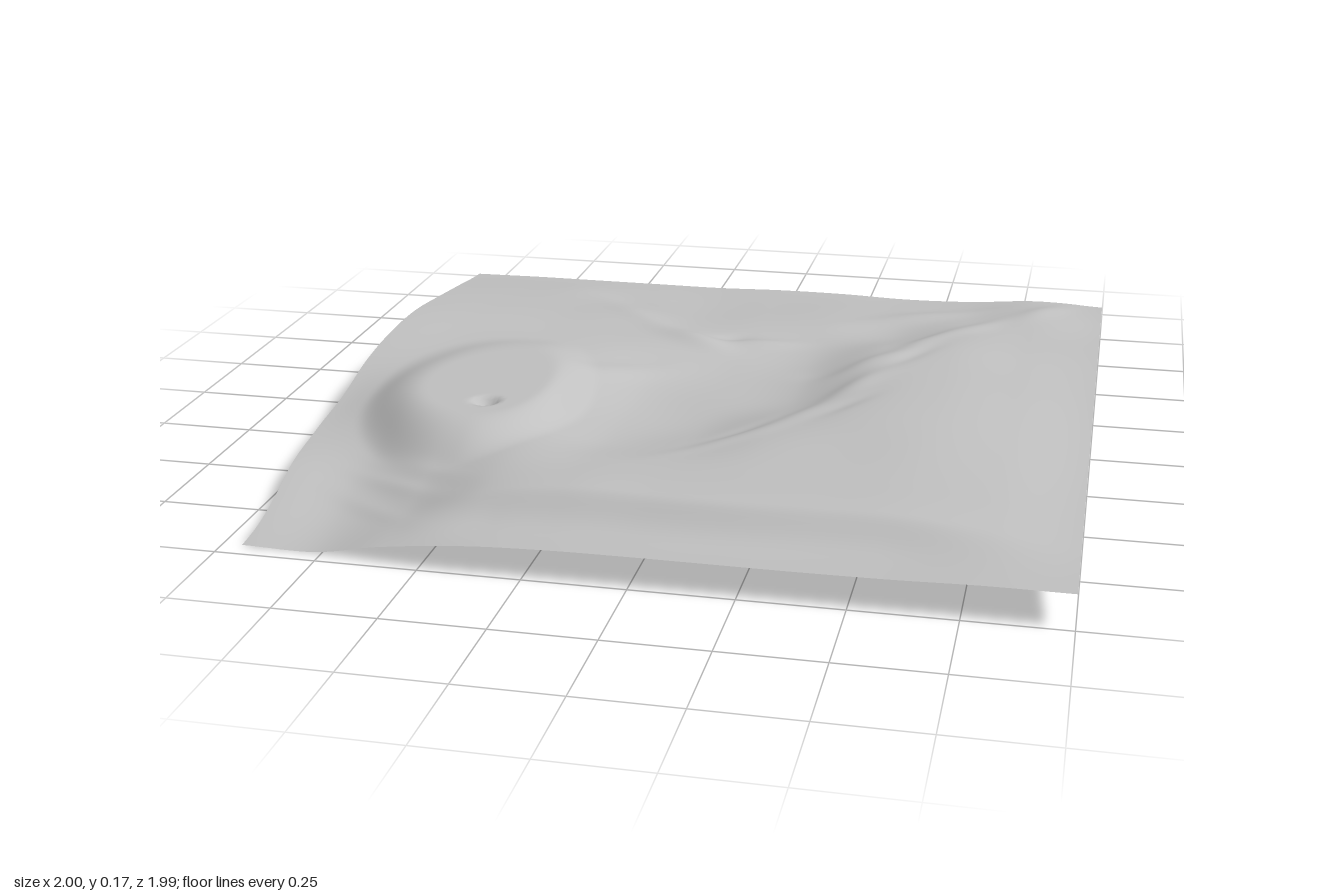
import * as THREE from 'three';

// Coarse relief in hundredths of a unit: rows run back to front, columns run from -x to +x
const RELIEF = [
  [9.3, 9.5, 9.5, 9.5, 9.5, 10, 10, 9.5, 10, 11.5, 10.8],
  [11.5, 11.8, 12, 10.8, 9.8, 10.3, 11, 11, 11.5, 13.5, 11.4],
  [13.8, 13.3, 13, 13, 11.3, 11.3, 11, 10.5, 13.6, 12.8, 11.4],
  [15.8, 14.8, 13.7, 13, 12.3, 10.7, 10, 14, 15.8, 13.7, 11.6],
  [15.8, 14.9, 14.7, 13.5, 10.5, 8.9, 9.8, 15.2, 16, 14, 11.6],
  [13.8, 14.4, 16.3, 14, 9.3, 8.8, 10.2, 15.8, 16.6, 14.5, 11.6],
  [9.5, 13.5, 16, 13, 9.3, 9.2, 13.3, 16.5, 16.8, 14.7, 11.6],
  [7.6, 9.5, 13.5, 14, 11, 12, 15, 15.8, 16.2, 14.5, 11.6],
  [6.6, 6, 10, 14.2, 14.3, 14.6, 15.2, 15.2, 15.2, 14, 11.6],
  [3.2, 2.4, 6, 12.5, 14.9, 14.9, 14.9, 14.8, 14.4, 13, 11],
  [0.8, 0.8, 4.5, 7.2, 8.1, 8.3, 8.3, 8.3, 8.5, 9, 9],
];

// Small ridges and hollows: x, z, angle, length, width, height
const DETAILS = [
  // broken crest of the diagonal ridge
  [0.1, 0.38, -0.75, 0.16, 0.035, 0.005], [0.27, 0.17, -1, 0.14, 0.035, 0.006],
  [0.37, -0.04, -1.05, 0.13, 0.04, 0.008], [0.4, -0.26, -0.7, 0.11, 0.04, 0.008],
  [0.52, -0.46, -1.15, 0.13, 0.035, 0.007], [0.64, -0.64, -0.9, 0.13, 0.035, 0.007],
  [0.83, -0.85, -1.05, 0.12, 0.04, 0.007], [0.25, -0.22, 0.1, 0.07, 0.04, -0.004],
  [0.5, -0.3, -1.05, 0.1, 0.025, -0.005], [0.37, 0.13, -0.95, 0.1, 0.025, -0.004],
  [0.13, 0.28, -0.85, 0.1, 0.03, -0.004],
  // knoll and hollows at the back of the basin
  [-0.32, -0.54, 0.75, 0.16, 0.045, 0.007], [-0.14, -0.41, 0.45, 0.1, 0.045, 0.016],
  [0.05, -0.45, -0.25, 0.1, 0.03, 0.009], [-0.05, -0.47, -0.4, 0.05, 0.025, -0.007],
  [0.45, -0.77, -0.45, 0.2, 0.045, 0.008], [-0.4, -0.74, 0.6, 0.16, 0.06, -0.006],
  // inner arm running off the mound
  [-0.3, -0.1, -0.65, 0.15, 0.05, 0.008],
  // folds below the mound
  [-0.62, 0.62, 0.45, 0.14, 0.025, 0.004], [-0.66, 0.69, 0.5, 0.15, 0.025, 0.005],
  [-0.7, 0.79, 0.55, 0.14, 0.03, 0.004],
];

const { clamp, smoothstep, lerp } = THREE.MathUtils;

function cubic(a, b, c, d, t) {
  return b + 0.5 * t * (c - a + t * (2 * a - 5 * b + 4 * c - d + t * (3 * (b - c) + d - a)));
}

function sampleRelief(x, z) {
  const u = clamp((x + 1) * 5, 0, 10), v = clamp((z + 1) * 5, 0, 10);
  const i = Math.min(9, Math.floor(u)), j = Math.min(9, Math.floor(v));
  const at = (r, c) => RELIEF[clamp(r, 0, 10)][clamp(c, 0, 10)];
  const row = (r) => cubic(at(r, i - 1), at(r, i), at(r, i + 1), at(r, i + 2), u - i);
  return cubic(row(j - 1), row(j), row(j + 1), row(j + 2), v - j) / 100;
}

// Soft bump elongated along a direction
function bump(x, z, [cx, cz, angle, length, width, rise]) {
  const dx = x - cx, dz = z - cz, c = Math.cos(angle), s = Math.sin(angle);
  return rise * Math.exp(-(((dx * c + dz * s) / length) ** 2) - ((-dx * s + dz * c) / width) ** 2);
}

function height(x, z) {
  // Front terrace drops quickly behind a slightly wavy lip, fading out to the side
  let sz = z;
  const lip = 0.79 + 0.008 * Math.sin(x * 9);
  if (z > lip) {
    const t = (z - lip) / (1 - lip);
    const steep = smoothstep(x, -0.6, -0.35) * (1 - 0.7 * smoothstep(x, 0.55, 0.95));
    sz = lerp(z, lip + (1 - lip) * (1 - (1 - t) ** 2.6), steep);
  }
  let y = sampleRelief(x, sz);

  // Flat-topped mound, merging softly towards the back
  const mx = x + 0.54, mz = z - 0.2;
  const d = Math.hypot(mx / (mx < 0 ? 0.33 : 0.2), mz / (mz < 0 ? 0.42 : 0.38));
  const mask = 1 - smoothstep(d, 0.6, 1.15);
  y = lerp(y, Math.max(y, 0.179), mask);

  for (const detail of DETAILS) y += bump(x, z, detail) * (1 - mask);

  // Round dimple in the mound
  return y - 0.022 * (1 - smoothstep(Math.hypot(x + 0.54, z - 0.34), 0.012, 0.042));
}

export function createModel() {
  const group = new THREE.Group();
  const grey = new THREE.MeshStandardMaterial({ color: 0xc0c0c0, side: THREE.DoubleSide });
  grey.name = 'stone grey';

  // Relief sheet with one drawn-in front corner
  const geometry = new THREE.PlaneGeometry(2, 2, 160, 160).rotateX(-Math.PI / 2);
  const p = geometry.attributes.position;
  for (let i = 0; i < p.count; i++) {
    const x = p.getX(i), z = p.getZ(i);
    const pullX = 0.05 * smoothstep(z, 0.25, 0.95) * smoothstep(-x, 0.5, 1);
    const pullZ = 0.035 * smoothstep(-x, 0.35, 0.9) * smoothstep(z, 0.5, 1) + 0.008 * smoothstep(z, 0.8, 1);
    p.setXYZ(i, x + pullX, height(x, z), z - pullZ);
  }
  geometry.computeVertexNormals();
  geometry.computeBoundingBox();
  geometry.translate(0, -geometry.boundingBox.min.y, 0);

  const sheet = new THREE.Mesh(geometry, grey);
  sheet.name = 'reliefSheet';
  group.add(sheet);
  return group;
}
